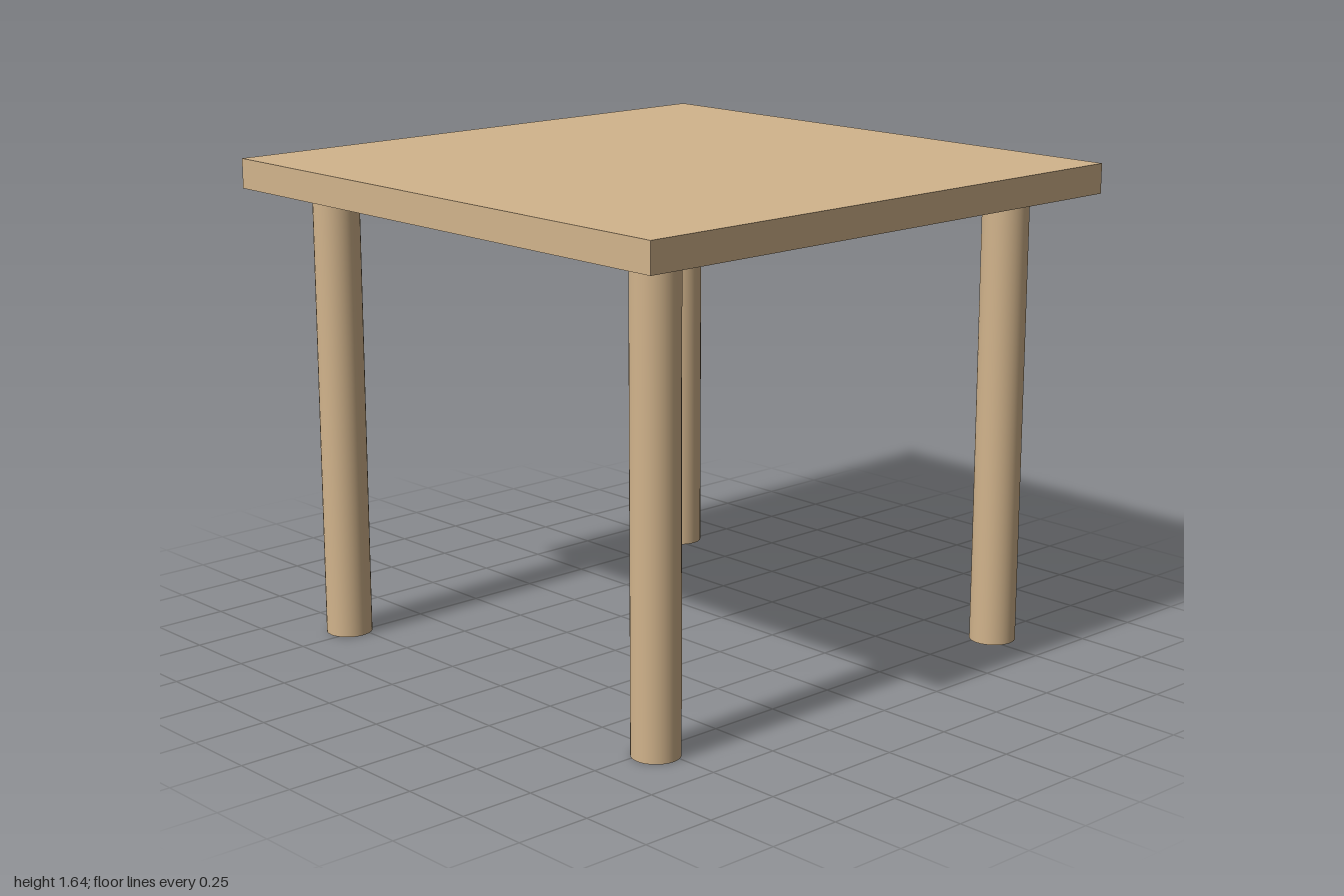
import * as THREE from 'three';

export function createModel() {
  const model = new THREE.Group();
  model.name = 'table';
  const wood = new THREE.MeshStandardMaterial({ color: 0xd2b48c });

  const legHeight = 1.54;
  const topThickness = 0.1;

  // Square slab top
  const top = new THREE.Mesh(new THREE.BoxGeometry(2, topThickness, 2), wood);
  top.name = 'tableTop';
  top.position.y = legHeight + topThickness / 2;
  model.add(top);

  // Four round legs, set in from the corners
  const legGeometry = new THREE.CylinderGeometry(0.078, 0.078, legHeight, 32);
  const inset = 0.782;
  for (const [zName, z] of [['front', inset], ['back', -inset]]) {
    for (const [xName, x] of [['Left', inset], ['Right', -inset]]) {
      const leg = new THREE.Mesh(legGeometry, wood);
      leg.name = `${zName}${xName}Leg`;
      leg.position.set(x, legHeight / 2, z);
      model.add(leg);
    }
  }

  return model;
}
